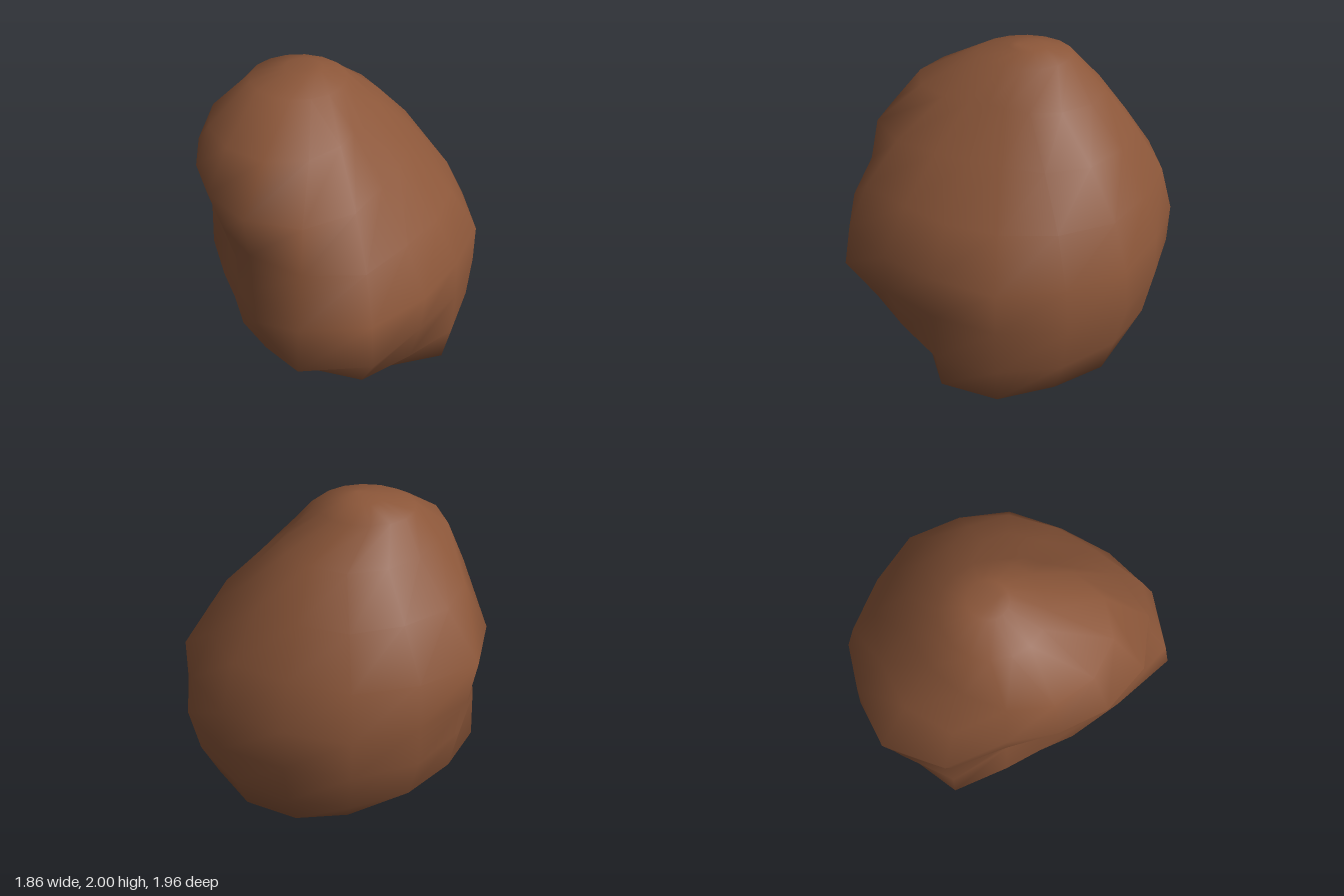
import * as THREE from 'three';

// Horizontal cross-sections: height and 16 radii, turning from +x towards +z
const SECTIONS = [
  [0.11, [.38, .36, .34, .35, .36, .38, .44, .50, .56, .50, .46, .44, .47, .45, .42, .42]],
  [0.20, [.90, .68, .50, .48, .47, .48, .50, .60, .69, .68, .70, .76, .83, .87, .87, .93]],
  [0.45, [.94, .86, .89, .77, .69, .63, .59, .67, .89, .88, .91, .94, .93, .95, .97, .97]],
  [0.75, [.935, .93, 1.06, 1.06, .78, .64, .54, .60, .87, .93, .99, 1.01, .98, 1.02, 1.02, .98]],
  [1.00, [.915, .94, 1.01, 1.0, .78, .64, .57, .63, .84, .96, .98, 1.01, .965, .99, .97, .97]],
  [1.27, [.765, .77, .88, .86, .79, .71, .66, .71, .90, 1.0, .95, .93, .87, .88, .83, .79]],
  [1.53, [.51, .54, .68, .80, .82, .78, .74, .74, .75, .78, .76, .76, .71, .68, .61, .52]],
  [1.77, [.26, .29, .39, .52, .61, .64, .65, .63, .59, .57, .57, .56, .51, .44, .36, .28]],
];
const SIDES = 16;

function buildBoulder() {
  const positions = [];
  const index = [];
  const addRing = (y, radii, cx = 0, cz = 0) => {
    radii.forEach((r, j) => {
      const a = (j / SIDES) * Math.PI * 2;
      positions.push(cx + Math.cos(a) * r, y, cz + Math.sin(a) * r);
    });
  };

  // Body, then two small rings closing the off-centre crown
  SECTIONS.forEach(([y, radii]) => addRing(y, radii));
  addRing(1.94, Array(SIDES).fill(0.28), -0.16, -0.02);
  addRing(1.99, Array(SIDES).fill(0.11), -0.14, -0.05);
  const rings = SECTIONS.length + 2;

  // Lowest and highest points
  const bottom = rings * SIDES;
  const top = bottom + 1;
  positions.push(0, 0, 0.04, -0.1, 2, 0);

  for (let j = 0; j < SIDES; j++) {
    const k = (j + 1) % SIDES;
    for (let i = 0; i < rings - 1; i++) {
      const a = i * SIDES + j, b = i * SIDES + k;
      const c = a + SIDES, d = b + SIDES;
      index.push(a, c, b, b, c, d);
    }
    index.push(bottom, j, k);
    index.push(top, (rings - 1) * SIDES + k, (rings - 1) * SIDES + j);
  }

  const geometry = new THREE.BufferGeometry();
  geometry.setAttribute('position', new THREE.Float32BufferAttribute(positions, 3));
  geometry.setIndex(index);
  geometry.computeVertexNormals();
  return geometry;
}

export function createModel() {
  const model = new THREE.Group();
  model.name = 'rock';
  const brown = new THREE.MeshStandardMaterial({ color: 0x8b5639 });
  brown.name = 'brown stone';
  const boulder = new THREE.Mesh(buildBoulder(), brown);
  boulder.name = 'boulder';
  model.add(boulder);
  return model;
}
